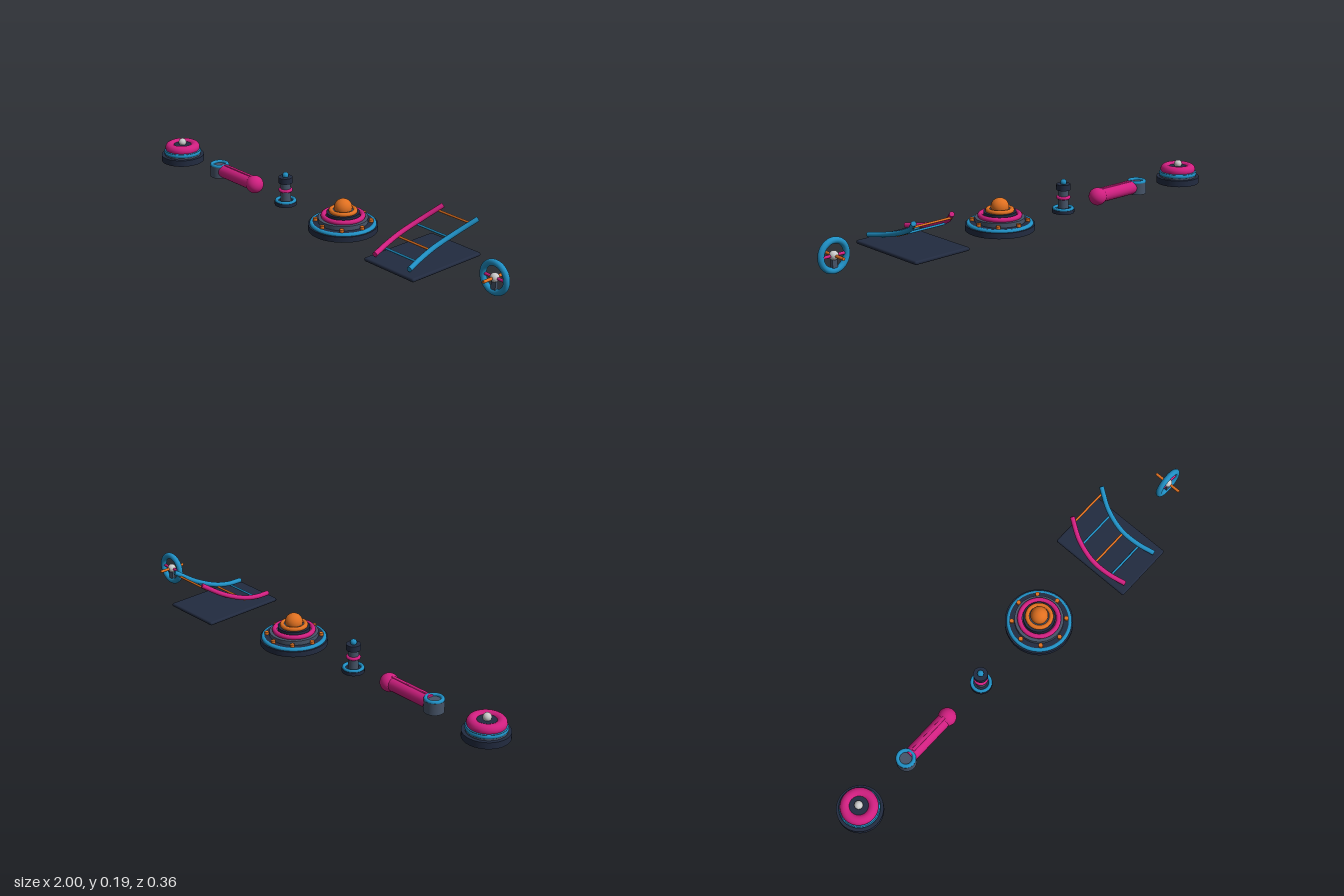
import * as THREE from 'three';
import { RoundedBoxGeometry } from 'three/addons/geometries/RoundedBoxGeometry.js';

const mat = (color) => new THREE.MeshStandardMaterial({ color });
const dark = mat(0x222b40), slate = mat(0x465468), blue = mat(0x1f8fc4);
const magenta = mat(0xd01f80), orange = mat(0xe07020), grey = mat(0xcccccc);

function add(parent, name, geometry, material, x = 0, y = 0, z = 0) {
  const mesh = new THREE.Mesh(geometry, material);
  mesh.name = name;
  mesh.position.set(x, y, z);
  parent.add(mesh);
  return mesh;
}

// Upright cylinder between two heights
function disc(parent, name, material, r, y0, y1, rTop = r) {
  return add(parent, name, new THREE.CylinderGeometry(rTop, r, y1 - y0, 48), material, 0, (y0 + y1) / 2);
}

// Horizontal torus
function ring(parent, name, material, r, tube, y) {
  return add(parent, name, new THREE.TorusGeometry(r, tube, 14, 56).rotateX(Math.PI / 2), material, 0, y);
}

const ball = (parent, name, material, r, x, y) =>
  add(parent, name, new THREE.SphereGeometry(r, 28, 20), material, x, y);

// Straight rod between two points
function rod(parent, name, material, a, b, r) {
  const curve = new THREE.LineCurve3(new THREE.Vector3(...a), new THREE.Vector3(...b));
  const mesh = add(parent, name, new THREE.CylinderGeometry(r, r, curve.getLength(), 20), material);
  mesh.position.copy(curve.getPoint(0.5));
  mesh.quaternion.setFromUnitVectors(new THREE.Vector3(0, 1, 0), curve.getTangent(0));
  return mesh;
}

function group(parent, name, x) {
  const g = new THREE.Group();
  g.name = name;
  g.position.x = x;
  parent.add(g);
  return g;
}

function buildButton(g) {
  disc(g, 'buttonBase', dark, 0.092, 0.009, 0.036);
  disc(g, 'buttonCollar', slate, 0.078, 0.036, 0.058);
  ring(g, 'buttonBlueRing', blue, 0.071, 0.01, 0.05);
  ring(g, 'buttonCushion', magenta, 0.054, 0.021, 0.068);
  disc(g, 'buttonCore', dark, 0.045, 0.05, 0.08);
  ball(g, 'buttonKnob', grey, 0.017, 0, 0.09);
}

function buildArm(g) {
  disc(g, 'armPivot', slate, 0.04, 0.009, 0.058);
  ring(g, 'armPivotRing', blue, 0.032, 0.008, 0.06);
  rod(g, 'armShaft', magenta, [0.02, 0.038, 0], [0.235, 0.038, 0], 0.029);
  add(g, 'armRidge', new RoundedBoxGeometry(0.18, 0.01, 0.014, 2, 0.003), magenta, 0.13, 0.065);
  ball(g, 'armEnd', magenta, 0.037, 0.235, 0.037);
}

function buildPost(g) {
  disc(g, 'postBase', dark, 0.045, 0.009, 0.024);
  ring(g, 'postBaseRing', blue, 0.037, 0.007, 0.026);
  disc(g, 'postColumn', slate, 0.021, 0.02, 0.11);
  ring(g, 'postRing', magenta, 0.022, 0.007, 0.072);
  disc(g, 'postCap', dark, 0.029, 0.104, 0.128);
  ball(g, 'postTip', blue, 0.013, 0, 0.135);
}

function buildTurntable(g) {
  disc(g, 'turntableBase', dark, 0.138, 0.009, 0.032);
  ring(g, 'turntableBlueRing', blue, 0.123, 0.009, 0.034);
  disc(g, 'turntableDeck', dark, 0.12, 0.03, 0.042);
  disc(g, 'turntableTier', slate, 0.099, 0.04, 0.06);
  // Bolts around the deck
  for (let i = 0; i < 8; i++) {
    const a = (i / 8) * Math.PI * 2;
    add(g, 'turntableBolt', new THREE.CylinderGeometry(0.009, 0.009, 0.014, 16), orange,
      Math.cos(a) * 0.11, 0.046, Math.sin(a) * 0.11);
  }
  ring(g, 'turntableMagentaRing', magenta, 0.078, 0.01, 0.067);
  disc(g, 'turntableHub', dark, 0.065, 0.058, 0.082);
  ring(g, 'turntableOrangeRing', orange, 0.048, 0.009, 0.088);
  disc(g, 'turntableNeck', slate, 0.045, 0.08, 0.092);
  ball(g, 'turntableDome', orange, 0.036, 0, 0.1);
}

function buildRamp(g) {
  add(g, 'rampPlate', new RoundedBoxGeometry(0.26, 0.015, 0.36, 3, 0.007), dark, 0, 0.035);
  // Two curved rails, the same path side by side
  const path = [[-0.093, 0.06, 0.157], [-0.112, 0.074, 0.08], [-0.118, 0.096, 0],
    [-0.098, 0.133, -0.088], [-0.058, 0.181, -0.163]];
  const railCurve = (dx) => new THREE.CatmullRomCurve3(path.map(([x, y, z]) => new THREE.Vector3(x + dx, y, z)));
  [['magentaRail', magenta, 0], ['blueRail', blue, 0.18]].forEach(([name, material, dx]) => {
    const curve = railCurve(dx);
    add(g, name, new THREE.TubeGeometry(curve, 40, 0.01, 14), material);
    for (const t of [0, 1]) {
      const cap = add(g, name + 'End', new THREE.CylinderGeometry(0.01, 0.01, 0.001, 14), material);
      cap.position.copy(curve.getPoint(t));
      cap.quaternion.setFromUnitVectors(new THREE.Vector3(0, 1, 0), curve.getTangent(t));
    }
  });
  // Rungs hung just under the rails
  const curve = railCurve(0);
  [0.19, 0.42, 0.67, 0.94].forEach((t, i) => {
    const p = curve.getPointAt(t);
    rod(g, 'rung', i % 2 ? orange : blue, [p.x, p.y - 0.009, p.z], [p.x + 0.18, p.y - 0.009, p.z], 0.0045);
  });
}

function buildWheel(g) {
  const y = 0.075;
  add(g, 'wheelRim', new THREE.TorusGeometry(0.057, 0.0125, 16, 56), blue, 0, y);
  ball(g, 'wheelHub', grey, 0.018, 0, y);
  rod(g, 'wheelCrossbar', magenta, [-0.055, y, 0], [0.055, y, 0], 0.006);
  rod(g, 'wheelAxle', orange, [0, y, -0.061], [0, y, 0.061], 0.006);
  add(g, 'wheelStay', new THREE.BoxGeometry(0.022, 0.055, 0.014), slate, 0, 0.043);
}

export function createModel() {
  const model = new THREE.Group();
  model.name = 'partsKit';
  buildButton(group(model, 'button', -0.908));
  buildArm(group(model, 'arm', -0.648));
  buildPost(group(model, 'post', -0.215));
  buildTurntable(group(model, 'turntable', 0.131));
  buildRamp(group(model, 'ramp', 0.57));
  buildWheel(group(model, 'wheel', 0.93));
  return model;
}
